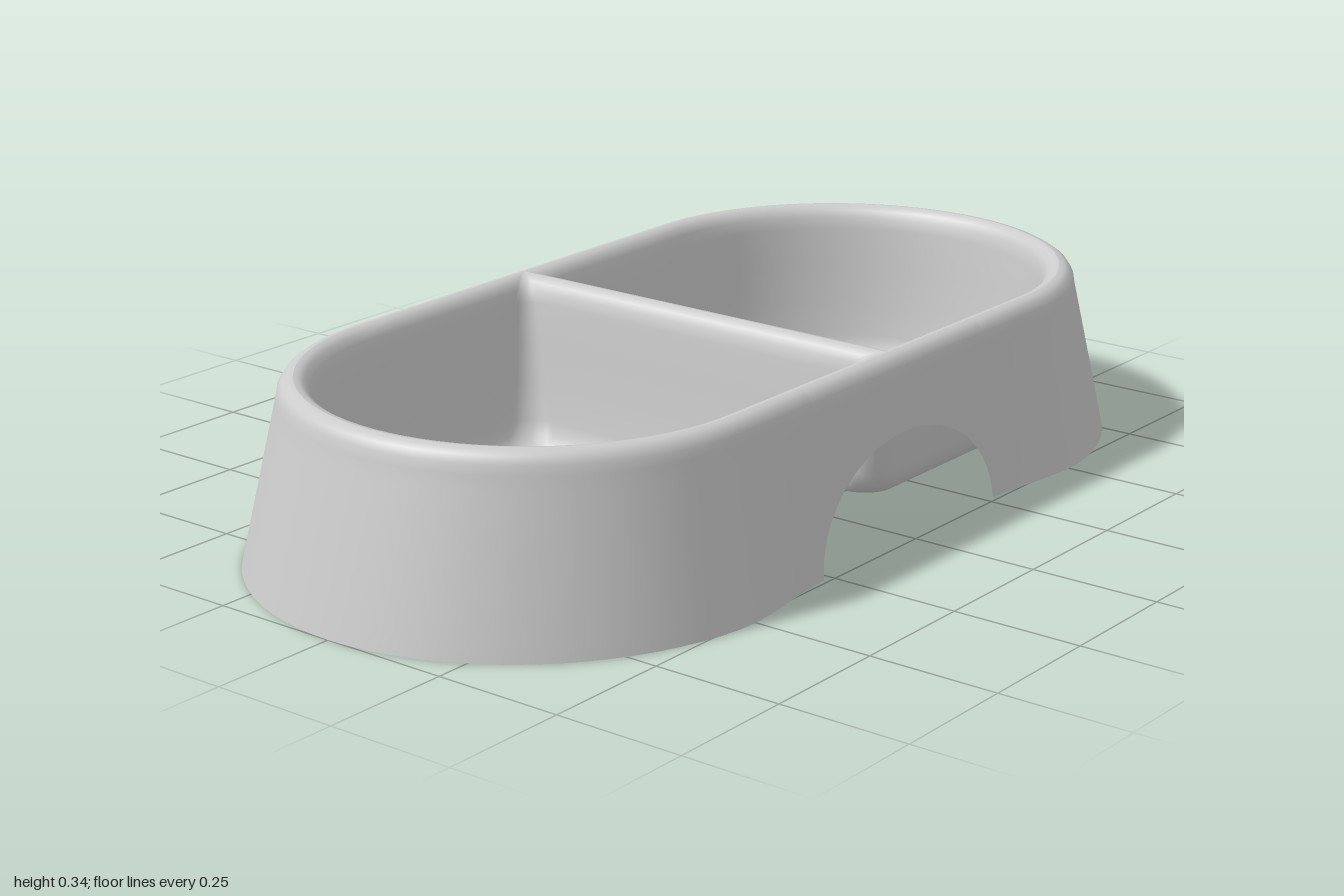
import * as THREE from 'three';

const H = 0.34;        // rim height
const C = 0.455;       // centre of each rounded end
const R = 0.43;        // radius of the rim crest
const ARCH_W = 0.27, ARCH_H = 0.2;

const material = new THREE.MeshStandardMaterial({ color: 0xcccccc, side: THREE.DoubleSide });

// Skins a stack of closed rings; an optional last point closes the end
function loft(rings, cap) {
  const n = rings[0].length, pos = rings.flat(2), idx = [];
  for (let i = 0; i < rings.length - 1; i++)
    for (let j = 0; j < n; j++) {
      const k = (j + 1) % n, a = i * n + j, b = i * n + k, c = a + n, d = b + n;
      idx.push(a, c, b, b, c, d);
    }
  if (cap) {
    const last = (rings.length - 1) * n, tip = pos.length / 3;
    pos.push(...cap);
    for (let j = 0; j < n; j++) idx.push(last + j, tip, last + (j + 1) % n);
  }
  const g = new THREE.BufferGeometry();
  g.setAttribute('position', new THREE.Float32BufferAttribute(pos, 3));
  g.setIndex(idx);
  g.computeVertexNormals();
  return g;
}

// Plan of the skirt: rounded ends (cos, sin) joined by straight sides
function skirtPlan() {
  const plan = [], side = [0.4, 0.34, 0.3];
  for (let k = 0; k <= 20; k++) side.push(ARCH_W * Math.cos(Math.PI * k / 20));
  side.push(-0.3, -0.34, -0.4);
  for (const s of [1, -1]) {
    for (let k = 0; k <= 40; k++) {
      const t = -Math.PI / 2 + Math.PI * k / 40;
      plan.push({ x: s * C, u: s * Math.cos(t), v: s * Math.sin(t) });
    }
    for (const x of side) plan.push({ x: s * x, u: 0, v: s });
  }
  return plan;
}

// Flared outer wall with an arch cut in the front and back
function skirtGeometry() {
  const plan = skirtPlan(), rings = [];
  const point = (p, y, out) => {
    const low = Math.max(0, 1 - y / 0.3);
    const pinch = 0.03 * low * (1 - THREE.MathUtils.smoothstep(Math.abs(p.x + p.u * R), 0.25, 0.55));
    return [p.x + p.u * (R + out + 0.025 * low), y, p.v * (R + out - pinch)];
  };
  const rows = 10;
  for (let i = 0; i <= rows; i++)
    rings.push(plan.map(p => {
      const q = 1 - (p.x / ARCH_W) ** 2;
      const base = p.u === 0 && q > 0 ? ARCH_H * Math.sqrt(q) : 0;
      const y = base + (0.3 - base) * i / rows;
      return point(p, y, 0.032 + 0.058 * (1 - y / 0.3));
    }));
  // rounded outer edge of the rim
  for (const [y, out] of [[0.318, 0.029], [0.331, 0.021], [0.338, 0.011], [H, 0]])
    rings.push(plan.map(p => point(p, y, out)));
  return loft(rings);
}

// D-shaped ring: inset d from the rim crest, corner radius r by the divider
function bowlRing(d, y, r) {
  const ring = [], w = R - d;
  const arc = (cx, cz, rad, from, to, n) => {
    for (let k = 0; k <= n; k++) {
      const t = from + (to - from) * k / n;
      ring.push([cx + rad * Math.cos(t), y, cz + rad * Math.sin(t)]);
    }
  };
  const line = (x0, z0, x1, z1, n) => {
    for (let k = 1; k < n; k++) ring.push([x0 + (x1 - x0) * k / n, y, z0 + (z1 - z0) * k / n]);
  };
  const q = Math.PI / 2;
  arc(C, 0, w, -q, q, 40);
  line(C, w, d + r, w, 6);
  arc(d + r, w - r, r, q, 2 * q, 6);
  line(d, w - r, d, r - w, 8);
  arc(d + r, r - w, r, 2 * q, 3 * q, 6);
  line(d + r, -w, C, -w, 6);
  return ring;
}

// One bowl, from the rim crest down the wall to the floor
function bowlGeometry() {
  const profile = [
    [0, H], [0.01, 0.338], [0.02, 0.331], [0.028, 0.318], [0.033, 0.295],
    [0.041, 0.22], [0.05, 0.14], [0.06, 0.07], [0.067, 0.045], [0.078, 0.027],
    [0.093, 0.017], [0.112, 0.013], [0.14, 0.012], [0.25, 0.012],
  ];
  const rings = profile.map(([d, y]) => bowlRing(d, y, Math.min(d * 0.9, 0.06)));
  return loft(rings, [C, 0.012, 0]);
}

export function createModel() {
  const group = new THREE.Group();
  group.name = 'doubleFeedingBowl';

  const skirt = new THREE.Mesh(skirtGeometry(), material);
  skirt.name = 'outerSkirt';
  group.add(skirt);

  // The two bowls meet at x = 0 and form the divider
  const bowl = bowlGeometry();
  ['leftBowl', 'rightBowl'].forEach((name, i) => {
    const mesh = new THREE.Mesh(bowl, material);
    mesh.name = name;
    mesh.rotation.y = i * Math.PI;
    group.add(mesh);
  });
  return group;
}
